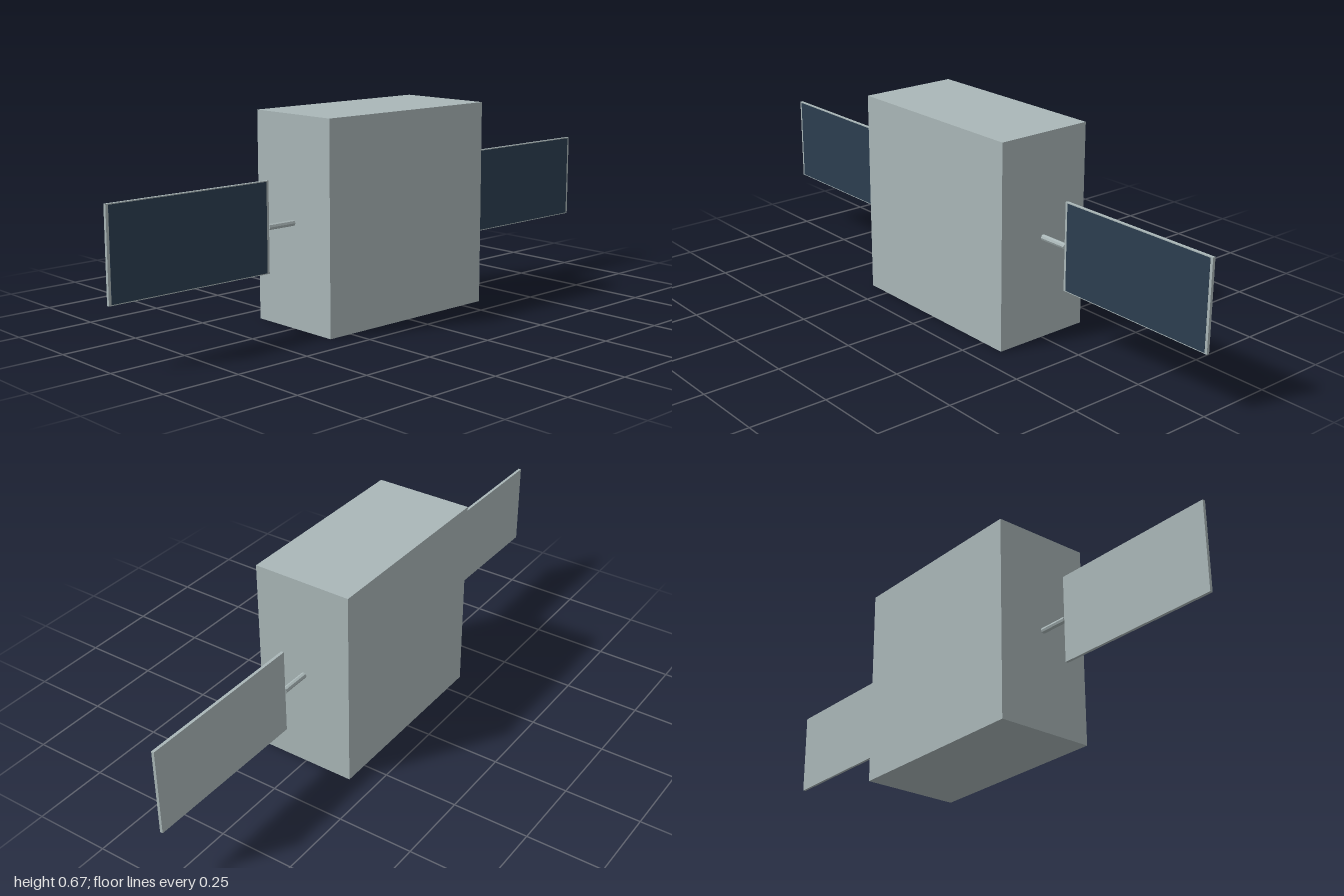
import * as THREE from 'three';

const SIZE = 0.667;
const MID_Y = SIZE / 2;

export function createModel() {
  const hull = new THREE.MeshStandardMaterial({ name: 'hull grey', color: 0xaab7b8 });
  const cells = new THREE.MeshStandardMaterial({ name: 'solar cell navy', color: 0x2c3e50 });

  const model = new THREE.Group();
  model.name = 'satellite';

  const add = (parent, name, geometry, material, x, y, z) => {
    const mesh = new THREE.Mesh(geometry, material);
    mesh.name = name;
    mesh.position.set(x, y, z);
    parent.add(mesh);
    return mesh;
  };

  // Main box
  add(model, 'body', new THREE.BoxGeometry(SIZE, SIZE, SIZE / 2), hull, 0, MID_Y, 0);

  // Faceted arm along x, and a thin panel and its front cell face
  const armGeometry = new THREE.CylinderGeometry(0.0095, 0.0095, 0.1, 8).toNonIndexed();
  armGeometry.rotateZ(Math.PI / 2);
  armGeometry.computeVertexNormals();
  const panelGeometry = new THREE.BoxGeometry(0.567, 0.285, 0.0095);
  const cellGeometry = new THREE.BoxGeometry(0.55, 0.279, 0.001);

  for (const [side, s] of [['left', 1], ['right', -1]]) {
    const wing = new THREE.Group();
    wing.name = side + 'Wing';
    wing.position.y = MID_Y;
    add(wing, side + 'Arm', armGeometry, hull, s * 0.383, 0, 0);
    add(wing, side + 'Panel', panelGeometry, hull, s * 0.7165, 0, 0);
    add(wing, side + 'SolarCells', cellGeometry, cells, s * 0.7165, 0, 0.005);
    model.add(wing);
  }

  return model;
}
